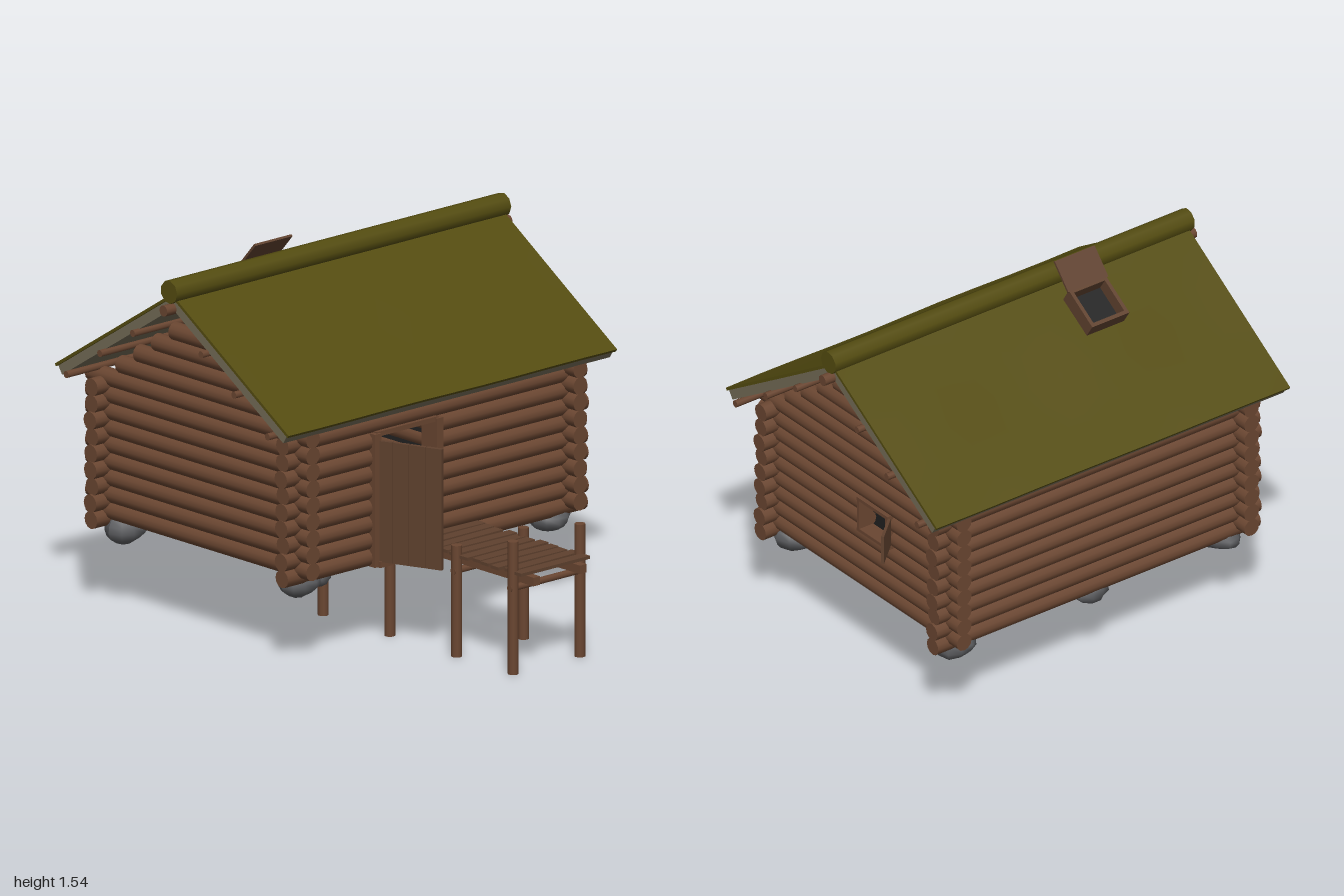
import * as THREE from 'three';

const mat = (name, color, side = THREE.FrontSide) => {
  const m = new THREE.MeshStandardMaterial({ color, side });
  m.name = name;
  return m;
};

export function createModel() {
  const root = new THREE.Group();
  root.name = 'logCabin';
  const wood = mat('log brown', 0x6a4631);
  const plank = mat('plank brown', 0x5f412e);
  const moss = mat('moss green', 0x544c10);
  const board = mat('weathered board', 0x736b56);
  const stone = mat('stone grey', 0x5c5d60);
  const dark = mat('dark interior', 0x222222, THREE.DoubleSide);
  const black = mat('black floor', 0x161616, THREE.DoubleSide);

  const group = (name, parent = root) => {
    const g = new THREE.Group();
    g.name = name;
    parent.add(g);
    return g;
  };
  const add = (parent, name, geo, m, x = 0, y = 0, z = 0) => {
    const mesh = new THREE.Mesh(geo, m);
    mesh.name = name;
    mesh.position.set(x, y, z);
    parent.add(mesh);
    return mesh;
  };
  const box = (parent, name, w, h, d, m, x, y, z) => add(parent, name, new THREE.BoxGeometry(w, h, d), m, x, y, z);
  // Round log between two points
  const log = (parent, name, a, b, r, m = wood, sides = 12) => {
    const p = new THREE.Vector3(...a), q = new THREE.Vector3(...b);
    const mesh = add(parent, name, new THREE.CylinderGeometry(r, r, p.distanceTo(q), sides), m);
    mesh.position.copy(p).lerp(q, 0.5);
    mesh.quaternion.setFromUnitVectors(new THREE.Vector3(0, 1, 0), q.sub(p).normalize());
    return mesh;
  };

  // Log walls: rows interlock at the corners, split around door and window
  const R = 0.037, STEP = 0.0685, X = 0.72, ZF = 0.25, ZB = -0.866, ZM = -0.31;
  const walls = group('logWalls');
  for (let i = 0; i < 9; i++) {
    const yf = 0.37 + i * STEP, ys = 0.4 + i * STEP;
    const e = 0.808 + 0.006 * Math.sin(i * 2.3);
    log(walls, 'backLog', [-e, yf, ZB], [e, yf, ZB], R);
    if (i >= 1 && i <= 7) {
      log(walls, 'frontLogLeft', [-0.01, yf, ZF], [e, yf, ZF], R);
      log(walls, 'frontLogRight', [-e, yf, ZF], [-0.325, yf, ZF], R);
    } else log(walls, 'frontLog', [-e, yf, ZF], [e, yf, ZF], R);
    log(walls, 'sideLogRight', [-X, ys, -0.957], [-X, ys, 0.337], R);
    if (i === 4 || i === 5) {
      log(walls, 'windowLogFront', [X, ys, -0.34], [X, ys, 0.337], R);
      log(walls, 'windowLogBack', [X, ys, -0.957], [X, ys, -0.51], R);
    } else log(walls, 'sideLogLeft', [X, ys, -0.957], [X, ys, 0.337], R);
  }
  // Stepped gables
  [0.47, 0.366, 0.262, 0.16, 0.06].forEach((h, i) => {
    const y = 0.4 + (9 + i) * STEP;
    for (const s of [-1, 1]) log(walls, 'gableLog', [s * X, y, ZM - h], [s * X, y, ZM + h], R);
  });

  // Dark inner lining and floor
  const inner = group('interior');
  const lining = (name, a, b, hole) => {
    const rect = (P, x0, y0, x1, y1) => new P().moveTo(x0, y0).lineTo(x1, y0).lineTo(x1, y1).lineTo(x0, y1).closePath();
    const s = rect(THREE.Shape, a, 0.36, b, 0.95);
    if (hole) s.holes.push(rect(THREE.Path, ...hole));
    return add(inner, name, new THREE.ShapeGeometry(s), dark);
  };
  lining('frontLining', -0.7, 0.7, [-0.32, 0.38, -0.015, 0.88]).position.z = ZF - 0.025;
  lining('backLining', -0.7, 0.7).position.z = ZB + 0.025;
  for (const s of [-1, 1]) {
    const w = lining('sideLining', ZB, ZF, s > 0 ? [-0.51, 0.64, -0.34, 0.78] : null);
    w.rotation.y = -Math.PI / 2;
    w.position.x = s * 0.695;
  }
  box(inner, 'floor', 1.42, 0.01, 1.1, black, 0, 0.365, ZM);
  log(inner, 'choppingBlock', [-0.03, 0.36, -0.05], [-0.03, 0.52, -0.07], 0.035);

  // Doorway frame and open door
  const door = group('door');
  for (const x of [-0.335, 0]) box(door, 'doorPost', 0.035, 0.55, 0.09, wood, x, 0.61, 0.255);
  box(door, 'lintel', 0.33, 0.02, 0.08, wood, -0.167, 0.88, 0.25);
  box(door, 'threshold', 0.33, 0.025, 0.09, wood, -0.167, 0.345, 0.265);
  const leaf = group('doorLeaf', door);
  leaf.position.set(-0.325, 0, 0.28);
  leaf.rotation.y = -1.2;
  for (let i = 0; i < 4; i++) box(leaf, 'doorPlank', 0.07, 0.5, 0.018, plank, 0.037 + i * 0.073, 0.605, 0);
  for (const y of [0.42, 0.775]) box(leaf, 'doorBatten', 0.27, 0.035, 0.02, plank, 0.145, y, -0.018);

  // Window frame and open shutter
  const win = group('window');
  for (const y of [0.643, 0.784]) box(win, 'windowRail', 0.07, 0.014, 0.2, wood, 0.735, y, -0.425);
  for (const z of [-0.335, -0.515]) box(win, 'windowJamb', 0.07, 0.15, 0.014, wood, 0.735, 0.713, z);
  const shutter = box(win, 'shutter', 0.012, 0.125, 0.14, plank, 0.815, 0.72, -0.573);
  shutter.rotation.y = -0.85;

  // Roof: two mirrored slopes of boards under moss
  const roof = group('roof');
  const slope = (name, turn) => {
    const g = group(name, roof);
    g.rotation.set(0.57, turn, 0, 'YXZ');
    g.position.set(0, 1.44, ZM);
    box(g, 'roofBoards', 1.76, 0.04, 0.8, board, 0, -0.031, 0.4);
    const skin = new THREE.BoxGeometry(1.77, 0.012, 0.812, 10, 1, 6);
    const p = skin.attributes.position;
    for (let i = 0; i < p.count; i++) {
      const x = p.getX(i), z = p.getZ(i);
      p.setY(i, p.getY(i) + 0.003 * Math.sin(x * 7) * Math.cos(z * 6));
    }
    skin.computeVertexNormals();
    add(g, 'mossLayer', skin, moss, 0, -0.004, 0.404);
    return g;
  };
  slope('frontSlope', 0);
  const back = slope('backSlope', Math.PI);
  log(roof, 'ridgeRoll', [-0.9, 1.452, ZM], [0.9, 1.452, ZM], 0.048, moss, 9);
  log(roof, 'ridgePole', [-0.93, 1.38, ZM], [0.93, 1.38, ZM], 0.023);
  [[0.2, 1.24], [0.392, 1.115], [0.588, 0.985]].forEach(([d, y]) => {
    for (const s of [-1, 1]) log(roof, 'purlin', [-0.912, y, ZM + s * d], [0.912, y, ZM + s * d], 0.015, wood, 8);
  });

  // Smoke hatch on the back slope
  const hatch = group('smokeHatch', back);
  hatch.position.set(0.297, 0, 0.2);
  for (const s of [-1, 1]) {
    box(hatch, 'hatchSide', 0.016, 0.08, 0.18, plank, s * 0.085, 0.03, 0);
    box(hatch, 'hatchEnd', 0.186, 0.08, 0.016, plank, 0, 0.03, s * 0.082);
  }
  box(hatch, 'hatchOpening', 0.155, 0.006, 0.15, dark, 0, 0.01, 0);
  const lid = box(hatch, 'hatchLid', 0.2, 0.01, 0.135, plank, 0, 0.086, -0.15);
  lid.rotation.x = 0.28;

  // Walkway on posts
  const walk = group('walkway');
  [[0.92, 0.548], [0.59, 0.46], [0.2, 0.35], [-0.19, 0.36]].forEach(([z, h]) => {
    for (const x of [-0.18, 0.18]) log(walk, 'post', [x, 0, z], [x, h, z], 0.022, wood, 10);
    log(walk, 'crossBar', [-0.2, 0.355, z], [0.2, 0.355, z], 0.015, wood, 8);
  });
  for (const x of [-0.125, 0.125]) box(walk, 'beam', 0.035, 0.035, 0.8, wood, x, 0.388, 0.6);
  for (let i = 0; i < 11; i++) {
    const b = box(walk, 'deckPlank', 0.37, 0.013, 0.047, plank, 0.008 * Math.sin(i * 2.1) - 0.005, 0.421, 0.955 - i * 0.062);
    b.rotation.y = 0.025 * Math.sin(i * 1.7);
  }

  // Uneven stones: foundation, boulder, and hearth
  const rock = (parent, name, x, y, z, rx, ry, rz, seed) => {
    const g = new THREE.SphereGeometry(1, 10, 7);
    const p = g.attributes.position, v = new THREE.Vector3();
    for (let i = 0; i < p.count; i++) {
      v.fromBufferAttribute(p, i);
      const k = 1 + 0.1 * Math.sin(v.x * 3 + seed) * Math.cos(v.y * 3 - seed * 2) + 0.07 * Math.sin(v.z * 4 + seed * 3);
      p.setXYZ(i, v.x * k * rx, v.y * k * ry, v.z * k * rz);
    }
    g.computeVertexNormals();
    return add(parent, name, g, stone, x, y, z);
  };
  const stones = group('foundationStones');
  [
    [-0.68, 0.322, 0.2, 0.085, 0.052, 0.09], [-0.575, 0.328, 0.2, 0.055, 0.045, 0.06],
    [0.67, 0.322, 0.21, 0.085, 0.054, 0.095], [0.29, 0.322, 0.2, 0.085, 0.05, 0.07],
    [0.67, 0.325, -0.82, 0.085, 0.06, 0.1], [-0.67, 0.325, -0.82, 0.085, 0.06, 0.1],
    [0, 0.325, -0.82, 0.08, 0.055, 0.08], [0, 0.305, -0.49, 0.145, 0.08, 0.14],
    [-0.25, 0.32, -0.57, 0.07, 0.05, 0.07],
  ].forEach((s, i) => rock(stones, 'foundationStone', ...s, i * 1.3));
  const hearth = group('hearth');
  for (let i = 0; i < 9; i++) {
    const a = i / 9 * Math.PI * 2, r = 0.036 + 0.008 * Math.sin(i * 2.7);
    rock(hearth, 'hearthStone', 0.13 * Math.cos(a), 0.362, -0.24 + 0.13 * Math.sin(a), r * 1.2, r, r * 1.1, i);
    if (i % 2) log(hearth, 'firewood', [0.08 * Math.cos(a), 0.39, -0.24 + 0.08 * Math.sin(a)],
      [0.25 * Math.cos(a), 0.335, -0.24 + 0.25 * Math.sin(a)], 0.015, wood, 8);
  }
  return root;
}
